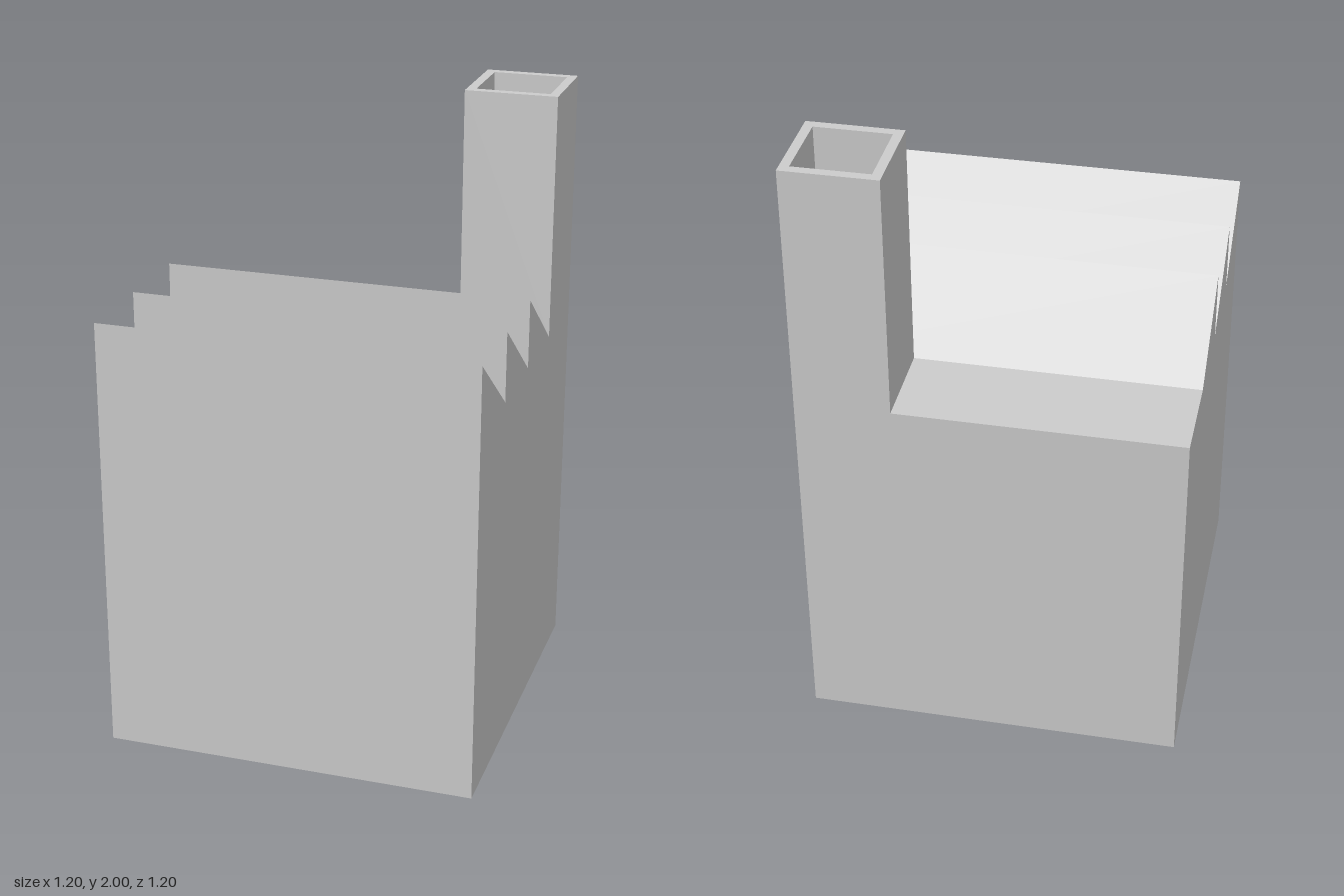
import * as THREE from 'three';

const HALF = 0.6;     // half the width and depth of the building
const EAVE = 1.205;   // flat roof and sawtooth valleys
const RIDGE = 1.43;   // sawtooth peaks
const TOP = 2;        // chimney top
const BAY = 0.3;      // depth of one roof tooth
const WALL = 0.03;    // chimney wall thickness

function square(PathType, x0, y0, x1, y1) {
  const p = new PathType();
  p.moveTo(x0, y0);
  p.lineTo(x1, y0);
  p.lineTo(x1, y1);
  p.lineTo(x0, y1);
  p.closePath();
  return p;
}

export function createModel() {
  const group = new THREE.Group();
  group.name = 'factory';
  const material = new THREE.MeshStandardMaterial({ color: 0xcccccc, flatShading: true });

  // Hall: side profile (u = -z, y) with three roof teeth, extruded across x
  const profile = new THREE.Shape();
  profile.moveTo(-HALF, 0);
  profile.lineTo(HALF, 0);
  profile.lineTo(HALF, EAVE);
  for (let i = 2; i >= 0; i--) {
    const front = -HALF + i * BAY;
    profile.lineTo(front + BAY, EAVE);
    profile.lineTo(front, RIDGE);
  }
  profile.closePath();
  const hallGeometry = new THREE.ExtrudeGeometry(profile, { depth: 2 * HALF, bevelEnabled: false });
  hallGeometry.translate(0, 0, -HALF).rotateY(Math.PI / 2);
  const hall = new THREE.Mesh(hallGeometry, material);
  hall.name = 'sawtoothHall';
  group.add(hall);

  // Chimney: square tube on the flat roof at the back left corner
  const plan = square(THREE.Shape, HALF - BAY, HALF - BAY, HALF, HALF);
  plan.holes.push(square(THREE.Path, HALF - BAY + WALL, HALF - BAY + WALL, HALF - WALL, HALF - WALL));
  const chimneyGeometry = new THREE.ExtrudeGeometry(plan, { depth: TOP - EAVE, bevelEnabled: false });
  chimneyGeometry.rotateX(-Math.PI / 2).translate(0, EAVE, 0);
  const chimney = new THREE.Mesh(chimneyGeometry, material);
  chimney.name = 'chimney';
  group.add(chimney);

  return group;
}
